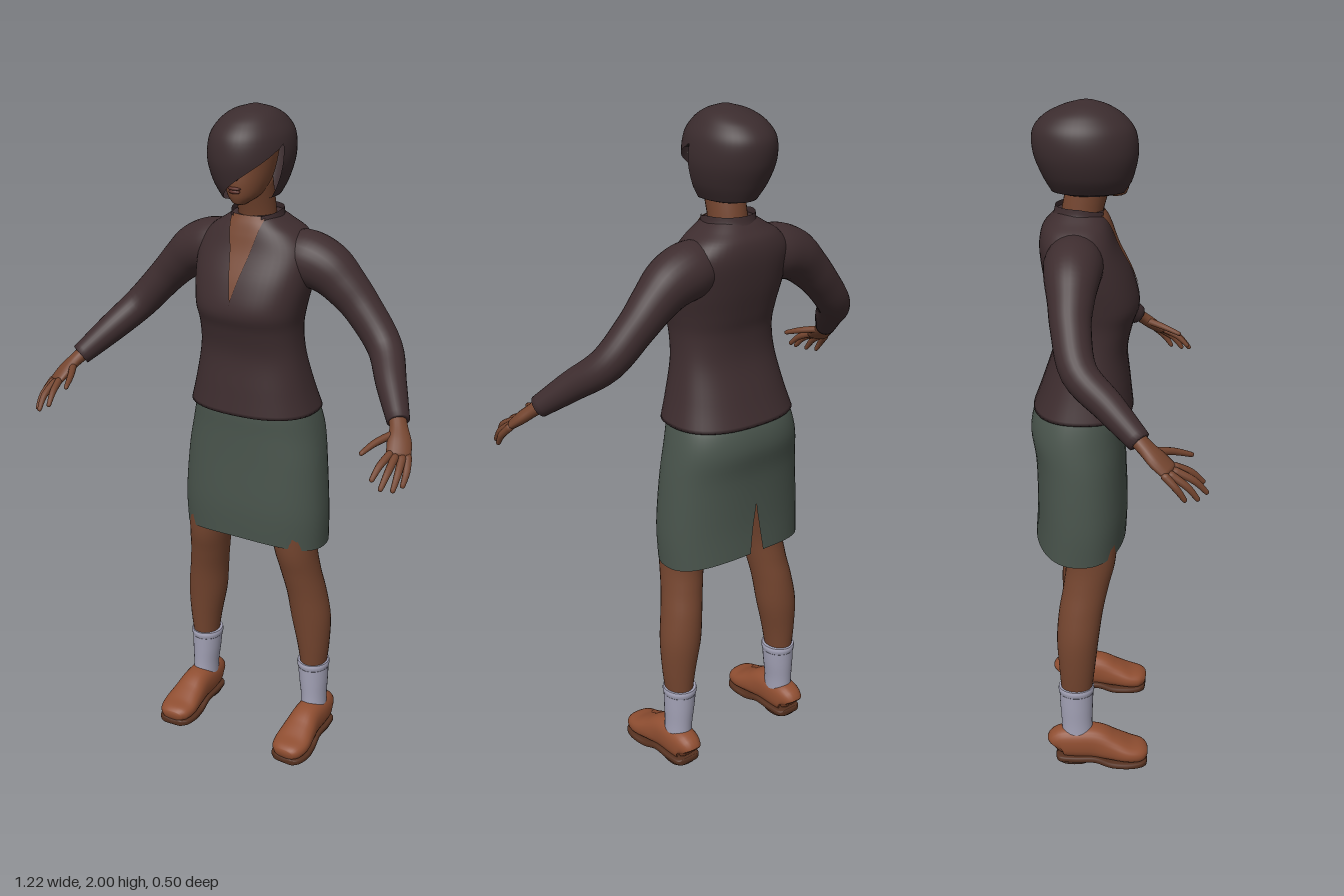
import * as THREE from 'three';
import { mergeVertices } from 'three/addons/utils/BufferGeometryUtils.js';

const material = (name, color) => {
  const m = new THREE.MeshStandardMaterial({ color, side: THREE.DoubleSide });
  m.name = name;
  return m;
};

// Catmull-Rom through rows of numbers, t in [0, rows - 1]
function sampleRows(rows, t) {
  const i = Math.min(Math.floor(t), rows.length - 2), f = t - i;
  const row = k => rows[Math.max(0, Math.min(rows.length - 1, k))];
  const [p, q, r, s] = [row(i - 1), row(i), row(i + 1), row(i + 2)];
  return q.map((_, c) => 0.5 * (2 * q[c] + (r[c] - p[c]) * f
    + (2 * p[c] - 5 * q[c] + 4 * r[c] - s[c]) * f * f
    + (3 * q[c] - p[c] - 3 * r[c] + s[c]) * f * f * f));
}

// Skin over rows [x, y, z, radiusA, radiusB].
// flat: level rings; cap: dome height at both ends; power: squareness;
// arc(y, radiusA): start angle and length; warp: moves each point.
function sweep(rows, { flat = false, cap = null, ref = [0, 0, 1], power = 2, segs = 28,
  steps = 5, grow = 0, arc = () => [0, Math.PI * 2], warp = p => p } = {}) {
  const up = new THREE.Vector3(...ref), count = (rows.length - 1) * steps, rings = [];
  for (let i = 0; i <= count; i++) {
    const t = i / steps, d = 0.01;
    const [x, y, z, ra, rb] = sampleRows(rows, t);
    const before = sampleRows(rows, Math.max(0, t - d));
    const after = sampleRows(rows, Math.min(rows.length - 1, t + d));
    const tan = flat ? new THREE.Vector3(0, 1, 0)
      : new THREE.Vector3(after[0] - before[0], after[1] - before[1], after[2] - before[2]).normalize();
    const a = up.clone().cross(tan).normalize(), b = tan.clone().cross(a);
    rings.push({ c: new THREE.Vector3(x, y, z), a, b, tan, ra: ra + grow, rb: rb + grow });
  }
  if (cap !== null) {
    const dome = (g, sign, k, shift) => ({ ...g, ra: g.ra * k, rb: g.rb * k,
      c: g.c.clone().addScaledVector(g.tan, sign * shift * cap * Math.min(g.ra, g.rb)) });
    const first = rings[0], last = rings[count];
    rings.unshift(dome(first, -1, 0, 1), dome(first, -1, 0.7, 0.7));
    rings.push(dome(last, 1, 0.7, 0.7), dome(last, 1, 0, 1));
  }
  const pos = [], index = [], bend = n => Math.sign(n) * Math.abs(n) ** (2 / power);
  rings.forEach((g, i) => {
    const [start, len] = arc(g.c.y, g.ra);
    for (let j = 0; j <= segs; j++) {
      const th = start + len * j / segs;
      const p = g.c.clone().addScaledVector(g.a, g.ra * bend(Math.cos(th)))
        .addScaledVector(g.b, g.rb * bend(Math.sin(th)));
      pos.push(...warp(p).toArray());
      if (i && j) {
        const n = i * (segs + 1) + j, m = n - segs - 1;
        index.push(m - 1, m, n - 1, m, n, n - 1);
      }
    }
  });
  let geo = new THREE.BufferGeometry();
  geo.setAttribute('position', new THREE.Float32BufferAttribute(pos, 3));
  geo.setIndex(index);
  geo = mergeVertices(geo, 1e-5);
  geo.computeVertexNormals();
  return geo;
}

// Level body section: height, centre x, half width, front z, back z
const level = ([y, x, r, front, back]) => [x, y, (front + back) / 2, r, (front - back) / 2];

export function createModel() {
  const model = new THREE.Group();
  model.name = 'woman';
  const skin = material('skin', 0x74452f), shirt = material('shirt', 0x3e2d2f);
  const hair = material('hair', 0x3b2c2e), skirt = material('skirt', 0x49544c);
  const sock = material('sock', 0xa3a2b6), shoe = material('shoe leather', 0x8f4e31);
  const sole = material('sole', 0x54301f), lip = material('lips', 0x5c3028);
  const white = material('eye white', 0xb8aca4), dark = material('eye dark', 0x1c1413);

  const add = (name, geo, mat, parent = model) => {
    const mesh = new THREE.Mesh(geo, mat);
    mesh.name = name;
    parent.add(mesh);
    return mesh;
  };
  const blob = (name, mat, [x, y, z], [rx, ry, rz], parent = model) => {
    const mesh = add(name, new THREE.SphereGeometry(1, 16, 12), mat, parent);
    mesh.position.set(x, y, z);
    mesh.scale.set(rx, ry, rz);
    return mesh;
  };

  // Blouse body and open neckline
  const bodyRows = [
    [1.125, 0, 0.2, 0.053, -0.24], [1.2, 0, 0.18, 0.045, -0.212], [1.3, 0, 0.16, 0.036, -0.18],
    [1.38, 0, 0.155, 0.052, -0.176], [1.44, 0, 0.163, 0.07, -0.188], [1.52, 0, 0.176, 0.048, -0.205],
    [1.6, 0, 0.18, 0.008, -0.214], [1.65, 0, 0.145, -0.01, -0.207], [1.68, 0, 0.1, -0.022, -0.185],
    [1.7, 0, 0.07, -0.035, -0.165]].map(level);
  const power = 2.4;
  add('blouse', sweep(bodyRows, { flat: true, cap: 0, power, segs: 48 }), shirt);
  add('neckline', sweep(bodyRows, { flat: true, power, grow: 0.004, segs: 10, steps: 10,
    arc: (y, r) => {
      const w = Math.max(0, y - 1.47) * 0.24;
      const h = Math.asin(Math.min(1, w / r) ** (power / 2));
      return [Math.PI / 2 - h, 2 * h];
    } }), skin);
  add('collar', sweep([[1.665, 0, 0.1, -0.005, -0.195], [1.69, 0, 0.08, -0.015, -0.175],
    [1.715, 0, 0.076, -0.02, -0.168]].map(level), { flat: true,
    arc: () => [Math.PI / 2 + 0.62, Math.PI * 2 - 1.24],
    warp: p => { p.y -= Math.max(0, p.z + 0.1) * 0.2; return p; } }), shirt);

  // Skirt with curved hem and back slit
  add('skirt', sweep([[0.69, 0, 0.233, 0.033, -0.24], [0.8, 0, 0.235, 0.037, -0.234],
    [0.95, 0, 0.224, 0.032, -0.236], [1.05, 0, 0.209, 0.03, -0.249],
    [1.12, 0, 0.193, 0.03, -0.234], [1.16, 0, 0.178, 0.02, -0.2]].map(level),
  { flat: true, power: 2.3, segs: 56,
    arc: y => {
      const g = Math.max(0, 0.85 - y) * 0.45;
      return [-Math.PI / 2 + g, Math.PI * 2 - 2 * g];
    },
    warp: p => {
      p.y += 0.03 * Math.max(0, (1.16 - p.y) / 0.47) * (1 - (p.x / 0.235) ** 2);
      return p;
    } }), skirt);

  // Neck, head and face
  add('neck', sweep([[0, 1.6, -0.1, 0.06, 0.06], [0, 1.7, -0.092, 0.054, 0.058],
    [0, 1.8, -0.065, 0.055, 0.06]], { cap: 0 }), skin);
  add('head', sweep([[1.745, 0, 0.022, 0.03, -0.03], [1.765, 0, 0.045, 0.038, -0.08],
    [1.8, 0, 0.06, 0.041, -0.12], [1.85, 0, 0.07, 0.037, -0.14], [1.9, 0, 0.073, 0.038, -0.15],
    [1.94, 0, 0.06, 0.012, -0.13]].map(level), { flat: true, cap: 0.3 }), skin);
  add('nose', sweep([[0, 1.86, 0.032, 0.007, 0.008], [0, 1.835, 0.042, 0.009, 0.011],
    [0, 1.817, 0.043, 0.016, 0.012]], { cap: 0.5, segs: 12 }), skin);
  blob('upperLip', lip, [0, 1.789, 0.039], [0.021, 0.005, 0.008]);
  blob('lowerLip', lip, [0, 1.78, 0.038], [0.018, 0.006, 0.008]);
  for (const s of [1, -1]) {
    blob('eye', white, [s * 0.03, 1.856, 0.031], [0.013, 0.006, 0.005]);
    blob('iris', dark, [s * 0.03, 1.856, 0.034], [0.006, 0.006, 0.004]);
    blob('eyebrow', dark, [s * 0.031, 1.876, 0.032], [0.018, 0.003, 0.005]);
  }

  // Bob with a fringe swept across the face
  const openEnd = 2.93;
  add('hair', sweep([[1.755, -0.006, 0.076, 0.035, -0.178], [1.8, -0.01, 0.102, 0.052, -0.203],
    [1.86, -0.012, 0.118, 0.064, -0.226], [1.92, -0.012, 0.113, 0.056, -0.228],
    [1.96, -0.01, 0.09, 0.025, -0.198], [1.985, -0.006, 0.06, -0.015, -0.15],
    [1.997, -0.004, 0.025, -0.05, -0.11]].map(level), { flat: true, cap: 0.15, segs: 48, steps: 8,
    arc: y => {
      const k = Math.max(0, Math.min(1, (y - 1.76) / 0.145));
      const openStart = 1.12 + (openEnd - 1.12) * k;
      return [openEnd, Math.PI * 2 - (openEnd - openStart)];
    } }), hair);

  for (const s of [1, -1]) {
    const side = s > 0 ? 'left' : 'right';
    const flip = rows => rows.map(([x, ...rest]) => [s * x, ...rest]);

    // Sleeve
    const arm = new THREE.Group();
    arm.name = side + 'Arm';
    model.add(arm);
    add('sleeve', sweep(flip([[0.08, 1.585, -0.11, 0.07, 0.07], [0.15, 1.58, -0.113, 0.08, 0.082],
      [0.215, 1.558, -0.116, 0.075, 0.076], [0.27, 1.515, -0.117, 0.064, 0.064],
      [0.33, 1.455, -0.115, 0.055, 0.055], [0.41, 1.365, -0.092, 0.05, 0.05],
      [0.47, 1.293, -0.012, 0.043, 0.043], [0.53, 1.222, 0.066, 0.032, 0.032]]), { cap: 0 }), shirt, arm);

    // Hand: palm, then thumb and fingers from base to tip
    add('palm', sweep(flip([[0.52, 1.232, 0.055, 0.024, 0.022], [0.54, 1.208, 0.083, 0.026, 0.019],
      [0.556, 1.183, 0.112, 0.034, 0.018], [0.568, 1.158, 0.142, 0.034, 0.014]]),
    { cap: 0.6, ref: [s * 0.38, 0.77, 0.44], segs: 18 }), skin, arm);
    const digits = [['thumb', [0.535, 1.198, 0.1], [0.505, 1.185, 0.155], [0.487, 1.168, 0.203]],
      ['indexFinger', [0.549, 1.162, 0.158], [0.54, 1.142, 0.2], [0.533, 1.112, 0.232]],
      ['middleFinger', [0.564, 1.156, 0.157], [0.567, 1.13, 0.207], [0.563, 1.095, 0.24]],
      ['ringFinger', [0.58, 1.153, 0.145], [0.588, 1.122, 0.188], [0.588, 1.087, 0.216]],
      ['littleFinger', [0.59, 1.153, 0.13], [0.601, 1.122, 0.16], [0.601, 1.09, 0.182]]];
    for (const [name, ...pts] of digits) {
      const radii = [0.0115, 0.01, 0.007];
      add(name, sweep(flip(pts.map((p, i) => [...p, radii[i], radii[i]])),
        { cap: 0.9, ref: [s, 0, 0], segs: 10 }), skin, arm);
    }

    // Bare leg and sock
    const leg = new THREE.Group();
    leg.name = side + 'Leg';
    model.add(leg);
    add('bareLeg', sweep(flip([[0.2, 0.24, -0.117, 0.038, 0.045], [0.198, 0.33, -0.115, 0.05, 0.054],
      [0.189, 0.43, -0.112, 0.062, 0.063], [0.177, 0.52, -0.102, 0.061, 0.066],
      [0.163, 0.6, -0.086, 0.061, 0.068], [0.15, 0.69, -0.072, 0.066, 0.075],
      [0.13, 0.85, -0.08, 0.085, 0.09]]), { flat: true, cap: 0 }), skin, leg);
    add('sock', sweep(flip([[0.205, 0.08, -0.115, 0.04, 0.048], [0.203, 0.14, -0.117, 0.04, 0.047],
      [0.2, 0.2, -0.118, 0.045, 0.05], [0.198, 0.25, -0.118, 0.048, 0.052],
      [0.198, 0.268, -0.118, 0.048, 0.052]]), { flat: true, cap: 0 }), sock, leg);
    add('sockCuff', sweep(flip([[0.198, 0.248, -0.118, 0.049, 0.053], [0.198, 0.26, -0.118, 0.051, 0.055],
      [0.198, 0.27, -0.118, 0.049, 0.053]]), { flat: true, cap: 0 }), sock, leg);

    // Shoe upper, sole and heel
    const upper = [[0.207, 0.062, -0.178, 0.03, 0.036], [0.207, 0.073, -0.165, 0.041, 0.048],
      [0.207, 0.076, -0.12, 0.046, 0.053], [0.207, 0.074, -0.06, 0.047, 0.053],
      [0.208, 0.06, -0.01, 0.053, 0.042], [0.209, 0.046, 0.04, 0.058, 0.031],
      [0.208, 0.04, 0.078, 0.05, 0.026], [0.207, 0.036, 0.095, 0.034, 0.018]];
    add('shoeUpper', sweep(flip(upper), { cap: 0.3, ref: [0, 1, 0], power: 2.4 }), shoe, leg);
    add('shoeSole', sweep(flip(upper.map(([x, , z, r]) =>
      [x, 0.014 + (z < -0.05 ? 0.014 : 0), z, r + 0.003, 0.011])),
    { cap: 0.4, ref: [0, 1, 0], power: 4 }), sole, leg);
    add('shoeHeel', sweep(flip([[0.207, 0.012, -0.125, 0.043, 0.05], [0.207, 0.03, -0.125, 0.044, 0.052]]),
      { flat: true, cap: 0, power: 2.6, steps: 1 }), sole, leg);
  }
  return model;
}
